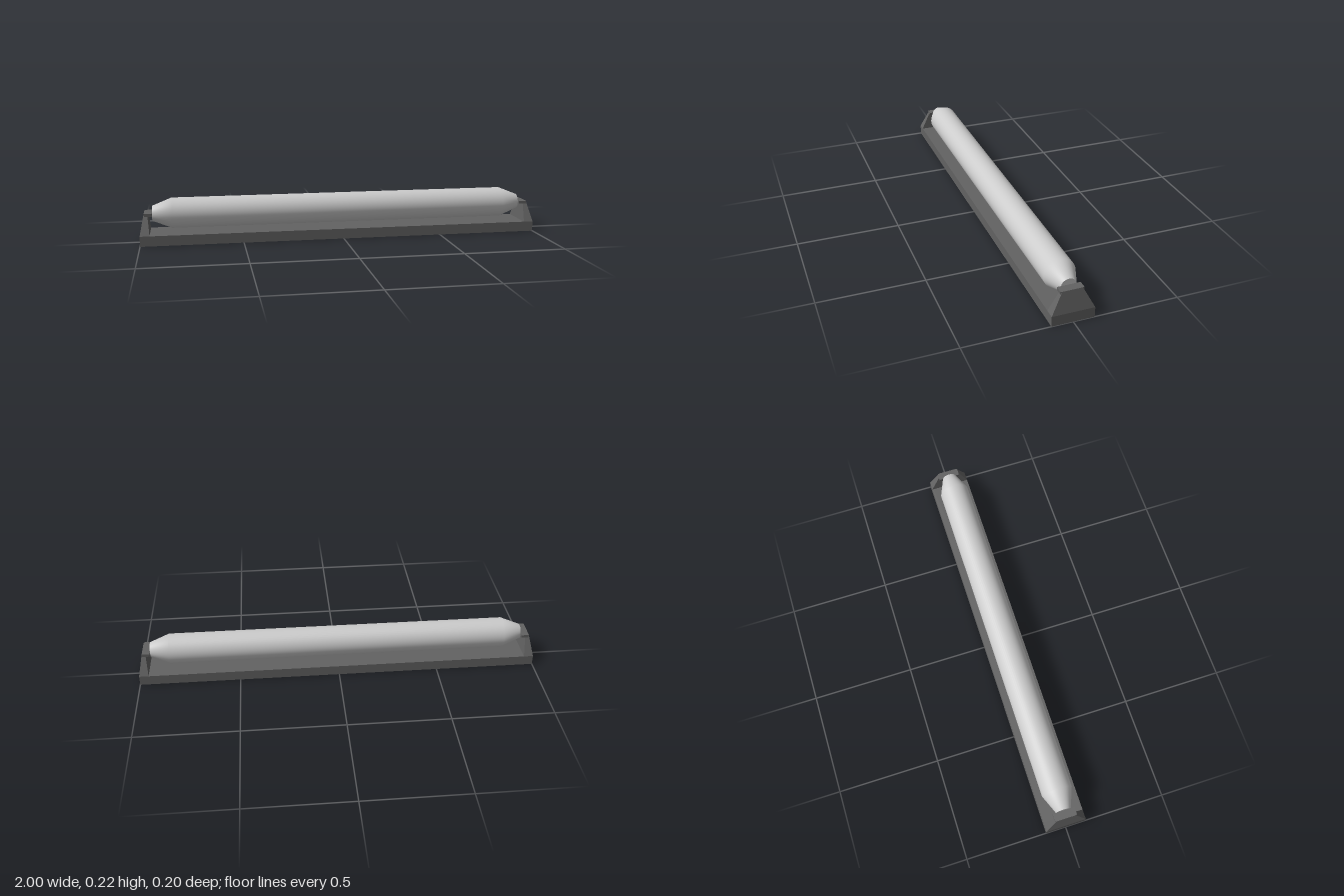
import * as THREE from 'three';

const dark = new THREE.MeshStandardMaterial({ color: 0x626262, flatShading: true });
const light = new THREE.MeshStandardMaterial({ color: 0xcccccc });

function add(parent, name, geometry, material, x = 0, y = 0, z = 0) {
  const mesh = new THREE.Mesh(geometry, material);
  mesh.name = name;
  mesh.position.set(x, y, z);
  parent.add(mesh);
  return mesh;
}

// Box narrowed towards the top: x range and half depth at the bottom and top
function taperedBlock(bottom, top, y0, y1) {
  const g = new THREE.BoxGeometry(1, 1, 1);
  const p = g.attributes.position;
  for (let i = 0; i < p.count; i++) {
    const up = p.getY(i) > 0;
    const s = up ? top : bottom;
    p.setXYZ(i, p.getX(i) > 0 ? s.x1 : s.x0, up ? y1 : y0, Math.sign(p.getZ(i)) * s.z);
  }
  g.computeVertexNormals();
  return g;
}

export function createModel() {
  const model = new THREE.Group();
  model.name = 'tubeLamp';

  add(model, 'base', new THREE.BoxGeometry(2, 0.05, 0.2), dark, 0, 0.025);

  // End holders, turned half round for the second side
  for (const side of [1, -1]) {
    const holder = new THREE.Group();
    holder.name = side > 0 ? 'leftHolder' : 'rightHolder';
    holder.rotation.y = side > 0 ? 0 : Math.PI;
    add(holder, 'bracket', taperedBlock(
      { x0: 0.953, x1: 1, z: 0.1 }, { x0: 0.962, x1: 0.979, z: 0.047 }, 0.05, 0.151), dark);
    add(holder, 'socketPlate', new THREE.BoxGeometry(0.038, 0.014, 0.109), dark, 0.959, 0.144);
    model.add(holder);
  }

  // Tube with tapered ends, lying along x
  const tube = new THREE.Group();
  tube.name = 'tube';
  tube.position.y = 0.143;
  const profile = [[0.037, -0.94], [0.075, -0.845], [0.075, 0.845], [0.037, 0.94]]
    .map(([r, l]) => new THREE.Vector2(r, l));
  add(tube, 'tubeBody', new THREE.LatheGeometry(profile, 48).rotateZ(-Math.PI / 2), light);
  for (const side of [1, -1]) {
    add(tube, 'tubeEnd', new THREE.CircleGeometry(0.037, 48).rotateY(side * Math.PI / 2), light, side * 0.94);
  }
  model.add(tube);

  return model;
}
